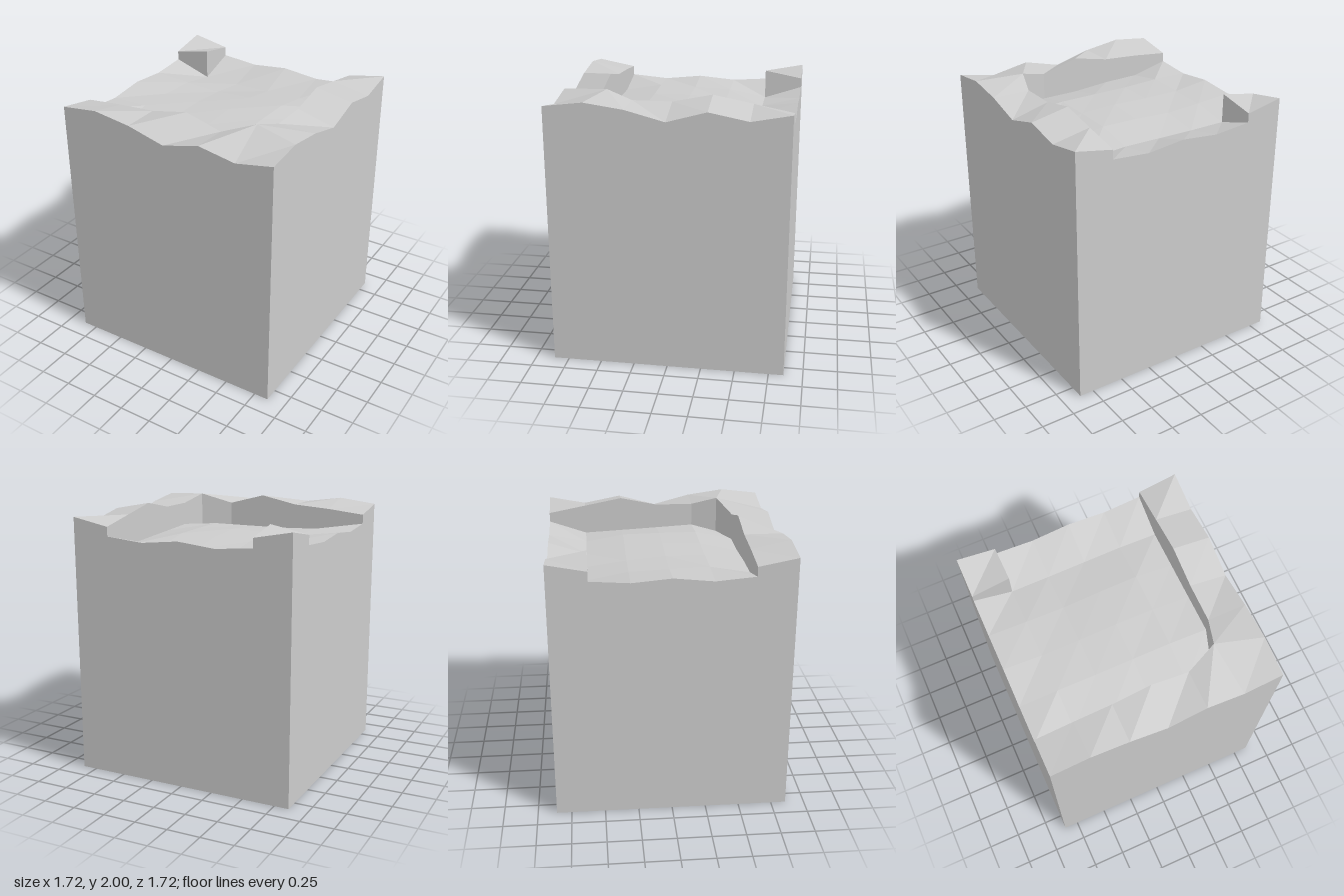
import * as THREE from 'three';

const H = 0.86, STEP = H / 3;
const material = new THREE.MeshStandardMaterial({ color: 0xcccccc, flatShading: true });

// Height grids: rows run back to front, columns run from -x to +x
const FLOOR = [
  [1.82, 1.82, 1.795, 1.825, 1.795, 1.82],
  [1.82, 1.725, 1.725, 1.73, 1.735, 1.72],
  [1.80, 1.78, 1.765, 1.78, 1.785, 1.735],
  [1.825, 1.79, 1.79, 1.80, 1.79, 1.75],
  [1.795, 1.80, 1.79, 1.79, 1.79, 1.766],
  [1.82, 1.75, 1.745, 1.725, 1.725, 1.725],
];
const FRONT_RIM = [
  [1.89, 1.92, 1.94, 2.0, 1.925, 2.0, 1.98],
  [1.945, 1.98, 1.94, 1.865, 1.94, 1.89, 1.945],
];
const SIDE_RIM = [
  [1.89, 1.945], [1.945, 1.89], [2.0, 1.945], [1.94, 1.865], [1.94, 1.94], [2.0, 1.98],
];
const BLOCK = [[1.945, 1.89], [1.89, 1.945]];

// Grid point; the inner rim corner is pulled in
function point(col, row, y) {
  if (col === 5 && row === 5) return [0.515, y, 0.48];
  return [-H + col * STEP, y, -H + row * STEP];
}

const gridPoints = (heights, col0, row0) =>
  heights.map((r, j) => r.map((y, i) => point(col0 + i, row0 + j, y)));

// Faceted sheet through rows of points
function sheet(name, rows, skip = () => false) {
  const pos = [];
  for (let j = 0; j + 1 < rows.length; j++) {
    for (let i = 0; i + 1 < rows[j].length; i++) {
      if (skip(i, j)) continue;
      const a = rows[j][i], b = rows[j + 1][i], c = rows[j + 1][i + 1], d = rows[j][i + 1];
      pos.push(...a, ...b, ...d, ...b, ...c, ...d);
    }
  }
  const geometry = new THREE.BufferGeometry();
  geometry.setAttribute('position', new THREE.Float32BufferAttribute(pos, 3));
  geometry.computeVertexNormals();
  const mesh = new THREE.Mesh(geometry, material);
  mesh.name = name;
  return mesh;
}

export function createModel() {
  const group = new THREE.Group();
  group.name = 'terrainBlock';

  // Top surfaces
  const floor = gridPoints(FLOOR, 0, 0);
  const front = gridPoints(FRONT_RIM, 0, 5);
  const side = gridPoints(SIDE_RIM, 5, 0);
  const block = gridPoints(BLOCK, 0, 0);
  group.add(
    sheet('sunkenFloor', floor, (i, j) => i === 0 && j === 0),
    sheet('frontRim', front),
    sheet('sideRim', side),
    sheet('cornerBlockTop', block),
  );

  // Inner step walls between the raised parts and the floor
  const rimTop = [...side.map((r) => r[0]), ...front[0].slice(0, 5).reverse()];
  const rimFoot = [...floor.map((r) => r[5]), ...floor[5].slice(0, 5).reverse()];
  group.add(
    sheet('rimStep', [rimTop, rimFoot]),
    sheet('cornerBlockStep', [
      [block[1][0], block[1][1], block[0][1]],
      [floor[1][0], floor[1][1], floor[0][1]],
    ]),
  );

  // Outer walls, each following the outline of the top
  const outlines = {
    frontWall: front[1],
    rightWall: [front[1][6], ...side.map((r) => r[1]).reverse()],
    backWall: [side[0][1], side[0][0], ...floor[0].slice(1).reverse(), block[0][1], block[0][0]],
    leftWall: [block[0][0], block[1][0], ...floor.slice(1).map((r) => r[0]), front[0][0], front[1][0]],
  };
  for (const [name, top] of Object.entries(outlines)) {
    group.add(sheet(name, [top, top.map(([x, , z]) => [x, 0, z])]));
  }

  // Underside
  group.add(sheet('base', [[[-H, 0, H], [H, 0, H]], [[-H, 0, -H], [H, 0, -H]]]));
  return group;
}
